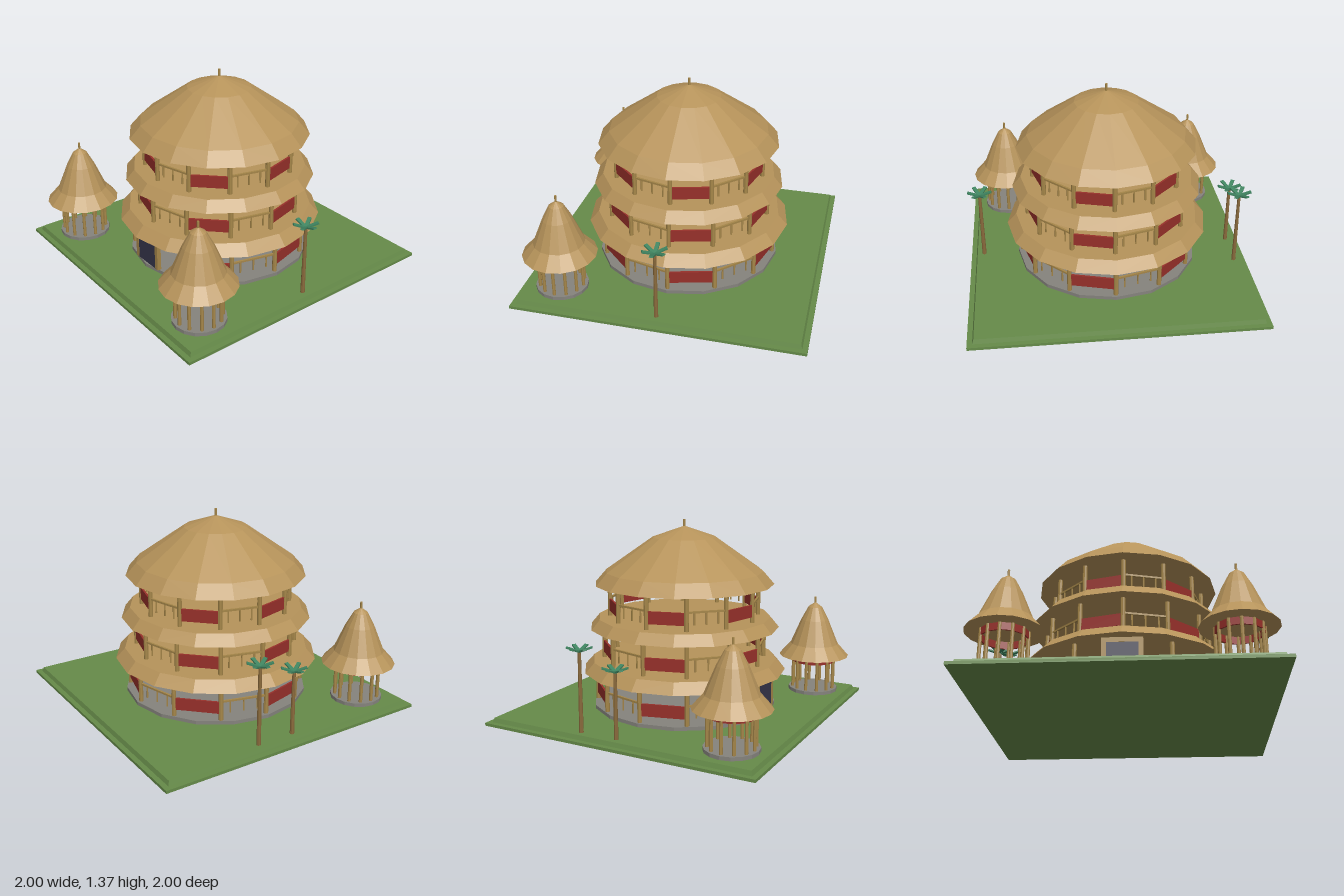
import * as THREE from 'three';

const mat = (name, color) => {
  const m = new THREE.MeshStandardMaterial({ color });
  m.name = name;
  return m;
};

export function createModel() {
  const thatch = mat('thatch', 0xb6935a), wood = mat('wood', 0xa58649), grass = mat('grass', 0x668b49);
  const red = mat('red panel', 0x98302a), stone = mat('stone', 0x85837d), navy = mat('dark door', 0x36354b);
  const bark = mat('bark', 0x8a6a3c), leaf = mat('palm leaf', 0x3f8460);

  const root = new THREE.Group();
  root.name = 'roundPavilion';

  // Faceted mesh helper
  function add(parent, name, geo, material, x = 0, y = 0, z = 0, ry = 0) {
    const g = geo.index ? geo.toNonIndexed() : geo;
    g.computeVertexNormals();
    const m = new THREE.Mesh(g, material);
    m.name = name;
    m.position.set(x, y, z);
    m.rotation.y = ry;
    parent.add(m);
    return m;
  }
  const group = (name, parent = root) => {
    const g = new THREE.Group();
    g.name = name;
    parent.add(g);
    return g;
  };
  const box = (w, h, d) => new THREE.BoxGeometry(w, h, d);
  const lathe = (pts, n = 16) => new THREE.LatheGeometry(pts.map(p => new THREE.Vector2(...p)), n);
  // Upright cylinder between two heights
  const post = (parent, name, r0, r1, y0, y1, x, z, material, n = 8) =>
    add(parent, name, new THREE.CylinderGeometry(r1, r0, y1 - y0, n), material, x, (y0 + y1) / 2, z);

  // Stepped lawn
  add(root, 'lawnBase', box(2, 0.02, 2), grass, 0, 0.01, 0);
  add(root, 'lawnStep', new THREE.CylinderGeometry(0.955 * Math.SQRT2, 0.965 * Math.SQRT2, 0.03, 4), grass, 0, 0.035, 0, Math.PI / 4);

  // Main hall
  const hall = group('mainHall');
  post(hall, 'plinth', 0.65, 0.65, 0.05, 0.075, 0, 0, stone, 16);

  const SIDES = 12, STEP = Math.PI * 2 / SIDES;
  function storey(name, R, y0, y1, railY, hasDoor) {
    const s = group(name, hall);
    for (let i = 0; i < SIDES; i++) {
      const a = i * STEP;
      if (!(hasDoor && i === 0)) post(s, 'column', 0.016, 0.016, y0, y1, R * Math.sin(a), R * Math.cos(a), wood);
      if (hasDoor && (i === 0 || i === SIDES - 1)) continue;
      // Alternate solid panels and open railings
      const mid = a + STEP / 2, len = 2 * R * Math.sin(STEP / 2), d = R * Math.cos(STEP / 2);
      const bay = group(i % 2 ? 'panelBay' : 'railBay', s);
      bay.position.set(d * Math.sin(mid), railY, d * Math.cos(mid));
      bay.rotation.y = mid;
      if (i % 2) {
        add(bay, 'panel', box(len, 0.085, 0.014), red, 0, 0, 0);
      } else {
        add(bay, 'handrail', box(len, 0.013, 0.014), wood, 0, 0.045, 0);
        for (const t of [-0.3, 0, 0.3]) post(bay, 'baluster', 0.006, 0.006, -0.042, 0.042, t * len, 0, wood, 6);
      }
    }
  }
  storey('groundStorey', 0.62, 0.075, 0.31, 0.163, true);
  storey('middleStorey', 0.57, 0.38, 0.615, 0.464, false);
  storey('upperStorey', 0.525, 0.685, 0.92, 0.766, false);

  // Skirt roofs and crowning roof
  post(hall, 'lowerRoof', 0.72, 0.655, 0.31, 0.382, 0, 0, thatch, 16);
  post(hall, 'middleRoof', 0.67, 0.61, 0.615, 0.686, 0, 0, thatch, 16);
  add(hall, 'mainRoof', lathe([[0, 0.92], [0.632, 0.92], [0.555, 1.008], [0.222, 1.242], [0, 1.32]]), thatch);
  post(hall, 'finial', 0.009, 0.009, 1.3, 1.366, 0, 0, wood);

  // Entrance
  const door = group('entrance', hall);
  add(door, 'doorLeaf', box(0.2, 0.205, 0.02), navy, 0, 0.1775, 0.625);
  add(door, 'doorLintel', box(0.262, 0.032, 0.03), wood, 0, 0.294, 0.622);
  for (const s of [-1, 1]) add(door, 'doorPost', box(0.03, 0.235, 0.03), wood, s * 0.116, 0.1925, 0.622);

  // Two corner huts
  for (const s of [-1, 1]) {
    const hut = group(s > 0 ? 'leftHut' : 'rightHut');
    hut.position.set(s * 0.722, 0, 0.72);
    post(hut, 'hutPlinth', 0.18, 0.18, 0.05, 0.075, 0, 0, stone, 16);
    const R = 0.152, len = 2 * R * Math.sin(STEP / 2), d = R * Math.cos(STEP / 2);
    for (let i = 0; i < SIDES; i++) {
      const a = i * STEP, mid = a + STEP / 2;
      post(hut, 'hutColumn', 0.012, 0.012, 0.075, 0.325, R * Math.sin(a), R * Math.cos(a), wood);
      add(hut, 'hutFrieze', box(len, 0.05, 0.01), red, d * Math.sin(mid), 0.297, d * Math.cos(mid), mid);
    }
    add(hut, 'hutRoof', lathe([[0, 0.32], [0.255, 0.32], [0.175, 0.41], [0.1, 0.59], [0.05, 0.685], [0, 0.722]]), thatch);
    post(hut, 'hutFinial', 0.008, 0.008, 0.7, 0.76, 0, 0, wood);
  }

  // Palms with upswept leaves
  for (const [x, z, h] of [[-0.905, -0.268, 0.59], [-0.905, 0, 0.49], [0.905, 0, 0.545]]) {
    const palm = group('palm');
    palm.position.set(x, 0, z);
    post(palm, 'palmTrunk', 0.015, 0.011, 0.05, h, 0, 0, bark);
    for (let i = 0; i < 6; i++) {
      const g = box(0.088, 0.01, 0.026);
      g.translate(0.044, 0, 0);
      g.rotateZ(0.33);
      add(palm, 'palmLeaf', g, leaf, 0, h, 0, i * Math.PI / 3);
    }
  }
  return root;
}
